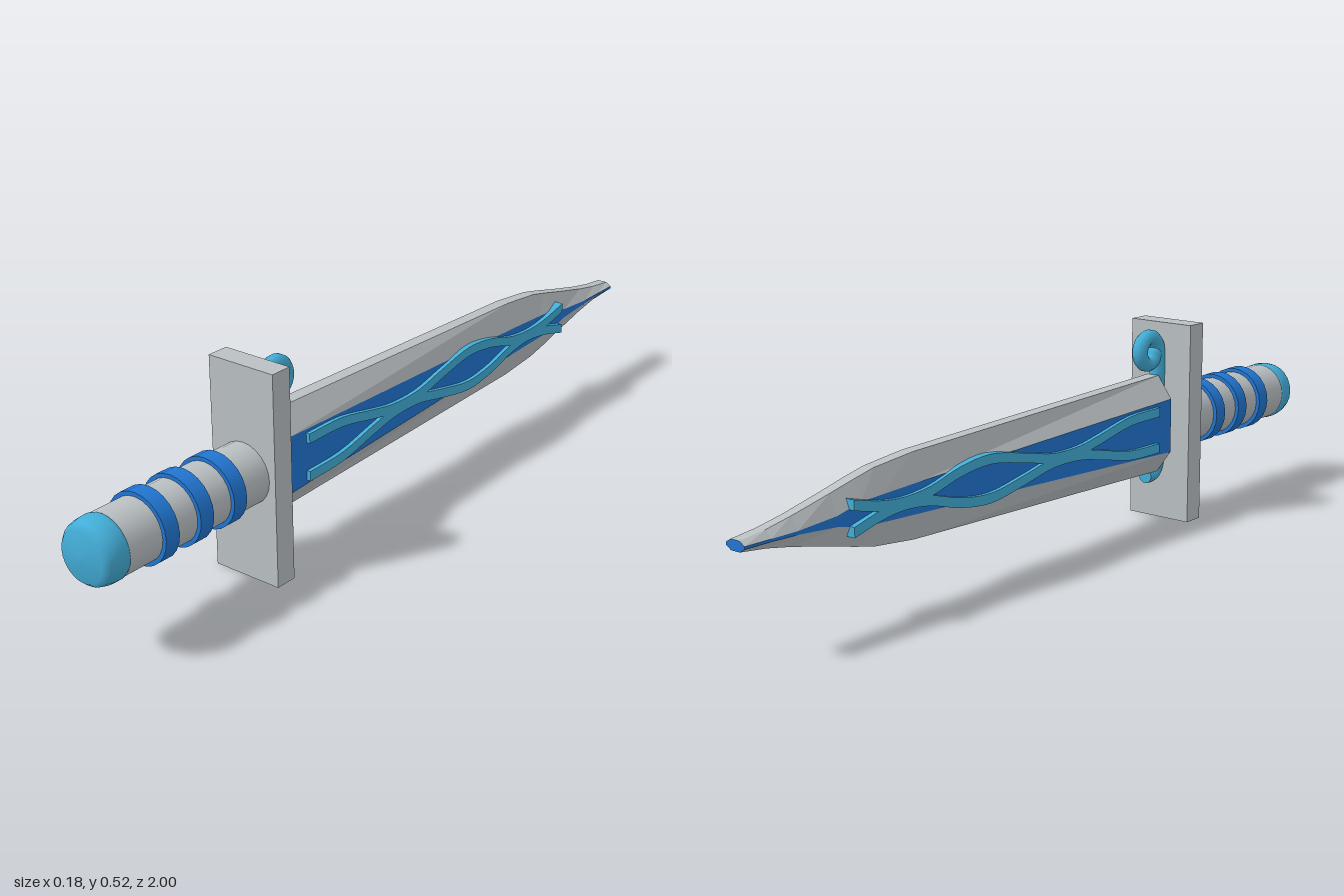
import * as THREE from 'three';

const mat = (name, color, extra = {}) => {
  const m = new THREE.MeshStandardMaterial({ color, ...extra });
  m.name = name;
  return m;
};

// Flat-faced loft through counter-clockwise xy rings that advance towards -z.
// Faces whose index is in `accent`, and the end cap, use material group 1.
function loft(rings, accent = []) {
  const plain = [], marked = [];
  const n = rings[0].length;
  for (let k = 0; k < rings.length - 1; k++) {
    const a = rings[k], b = rings[k + 1];
    for (let i = 0; i < n; i++) {
      const j = (i + 1) % n;
      const out = accent.includes(i) ? marked : plain;
      out.push(...a[i], ...b[i], ...b[j], ...a[i], ...b[j], ...a[j]);
    }
  }
  const first = rings[0], last = rings[rings.length - 1];
  for (let i = 1; i < n - 1; i++) {
    plain.push(...first[0], ...first[i], ...first[i + 1]);
    marked.push(...last[0], ...last[i + 1], ...last[i]);
  }
  const geo = new THREE.BufferGeometry();
  geo.setAttribute('position', new THREE.Float32BufferAttribute([...plain, ...marked], 3));
  geo.addGroup(0, plain.length / 3, 0);
  geo.addGroup(plain.length / 3, marked.length / 3, 1);
  geo.computeVertexNormals();
  return geo;
}

export function createModel() {
  const steel = mat('steel grey', 0xbac0c3);
  const blue = mat('deep blue', 0x2176d2);
  const sky = mat('sky blue', 0x43aed8);

  const model = new THREE.Group();
  model.name = 'dagger';
  const body = new THREE.Group();
  body.name = 'daggerBody';
  body.position.y = 0.26;
  model.add(body);
  const add = (name, geo, material, x = 0, y = 0, z = 0) => {
    const mesh = new THREE.Mesh(geo, material);
    mesh.name = name;
    mesh.position.set(x, y, z);
    body.add(mesh);
    return mesh;
  };

  // Guard
  add('guard', new THREE.BoxGeometry(0.184, 0.52, 0.056), steel, 0, 0, 0.48);

  // Grip with three raised bands
  add('grip', new THREE.CylinderGeometry(0.075, 0.075, 0.44, 24).rotateX(Math.PI / 2), steel, 0, 0, 0.72);
  for (const z of [0.612, 0.716, 0.82]) {
    add('gripBand', new THREE.CylinderGeometry(0.085, 0.085, 0.04, 24).rotateX(Math.PI / 2), blue, 0, 0, z);
  }

  // Rounded pommel
  const pommel = [[0, 0.925], [0.073, 0.925], [0.077, 0.94], [0.076, 0.962], [0.071, 0.982], [0.059, 0.996], [0, 1]]
    .map(([r, h]) => new THREE.Vector2(r, h));
  add('pommel', new THREE.LatheGeometry(pommel, 24).rotateX(Math.PI / 2), sky);

  // Blade stations: z, half height, half height of the blue flat, half thickness, half edge width
  const stations = [
    [0.42, 0.127, 0.07, 0.058, 0.017],
    [-0.5, 0.1, 0.036, 0.037, 0.016],
    [-0.62, 0.088, 0.031, 0.036, 0.015],
    [-0.68, 0.075, 0.028, 0.035, 0.015],
    [-0.75, 0.058, 0.012, 0.034, 0.014],
    [-0.86, 0.033, 0.004, 0.032, 0.013],
    [-0.93, 0.02, 0.003, 0.029, 0.013],
    [-1, 0.012, 0.003, 0.028, 0.013],
  ];
  const rings = stations.map(([z, h, b, x, e]) => [
    [x, b, z], [e, h, z], [-e, h, z], [-x, b, z],
    [-x, -b, z], [-e, -h, z], [e, -h, z], [x, -b, z],
  ]);
  add('blade', loft(rings, [3, 7]), [steel, blue]);

  // Crossing vine ribbons on both flats: z and distance from the centre line
  const wave = new THREE.CatmullRomCurve3([
    [0.36, 0.047], [0.24, 0.044], [0.12, 0.02], [0.04, 0.006], [-0.06, 0.006],
    [-0.16, 0.026], [-0.28, 0.046], [-0.38, 0.036], [-0.48, 0.01],
    [-0.56, 0.003], [-0.63, 0.01], [-0.715, 0.03],
  ].map(([z, y]) => new THREE.Vector3(0, y, z)));
  const points = wave.getPoints(44);
  for (const side of [1, -1]) {
    for (const up of [1, -1]) {
      const ribbon = points.map(({ y, z }) => {
        const face = 0.058 - (0.42 - z) * 0.0228;
        const flare = Math.max(0, -0.55 - z) * 0.04;
        const xs = [side * (face - 0.025), side * (face + 0.01 + flare)].sort((a, b) => a - b);
        const lo = up * y - 0.012, hi = up * y + 0.012;
        return [[xs[0], lo, z], [xs[1], lo, z], [xs[1], hi, z], [xs[0], hi, z]];
      });
      add(side > 0 ? 'leftVine' : 'rightVine', loft(ribbon), [sky, sky]);
    }
  }

  // Curled tendril in front of the guard, with a spiral at the top
  const path = [[0.39, -0.137], [0.42, -0.135], [0.437, -0.11], [0.437, 0], [0.437, 0.12]]
    .map(([z, y]) => new THREE.Vector3(0, y, z));
  for (let i = 0; i <= 12; i++) {
    const a = i * 0.5;
    const r = 0.04 - i * 0.0009;
    path.push(new THREE.Vector3(0, 0.19 + r * Math.sin(a), 0.396 + r * Math.cos(a)));
  }
  const curve = new THREE.CatmullRomCurve3(path);
  add('tendril', new THREE.TubeGeometry(curve, 90, 0.02, 10), sky);
  add('tendrilFoot', new THREE.CircleGeometry(0.02, 10).rotateY(Math.PI), sky, 0, -0.137, 0.39);
  const end = path[path.length - 1];
  add('tendrilTip', new THREE.SphereGeometry(0.02, 10, 8), sky, 0, end.y, end.z);

  return model;
}
